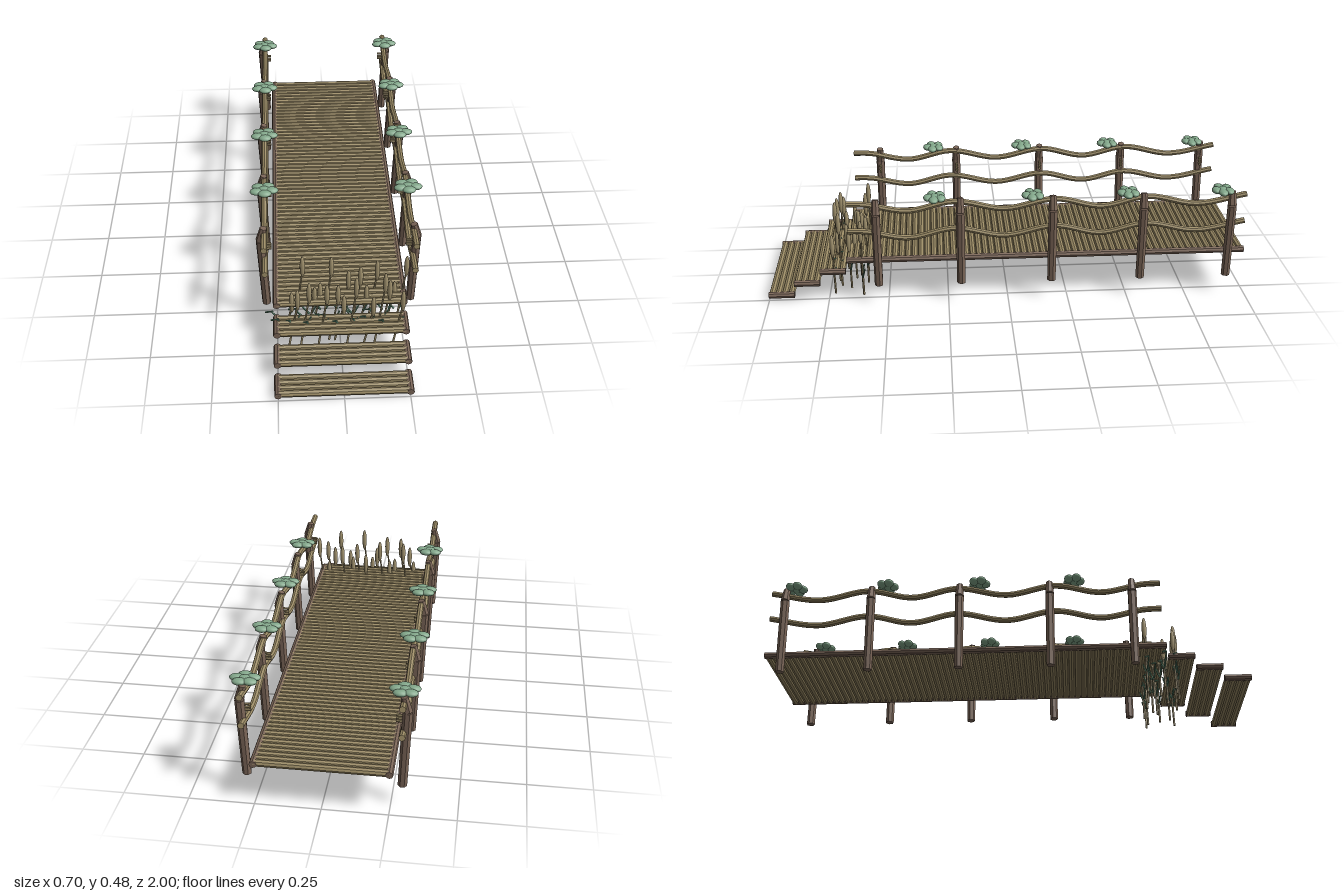
import * as THREE from 'three';

const mat = (name, color, flatShading = true) =>
  Object.assign(new THREE.MeshStandardMaterial({ color, flatShading }), { name });

export function createModel() {
  const wood = mat('tan wood', 0x9c8c66);
  const bark = mat('brown bark', 0x7a6557);
  const straw = mat('reed straw', 0xa39470, false);
  const lily = mat('pad green', 0x84a98c, false);
  const leaf = mat('leaf green', 0x5f8a72);
  const model = new THREE.Group();
  const V = (x, y, z) => new THREE.Vector3(x, y, z);

  const group = (name, parent = model) => {
    const g = new THREE.Group();
    g.name = name;
    parent.add(g);
    return g;
  };
  const add = (parent, name, geometry, material) => {
    const m = new THREE.Mesh(geometry, material);
    m.name = name;
    parent.add(m);
    return m;
  };
  // Straight log between two points
  const log = (parent, name, a, b, r0, r1, sides, material) => {
    const d = b.clone().sub(a);
    const m = add(parent, name, new THREE.CylinderGeometry(r1, r0, d.length(), sides), material);
    m.position.copy(a).add(b).multiplyScalar(0.5);
    m.quaternion.setFromUnitVectors(V(0, 1, 0), d.normalize());
    return m;
  };

  // Platform of round planks with a log along each side
  const platform = (name, z0, z1, y, count) => {
    const g = group(name);
    const pitch = (z1 - z0) / count;
    for (let i = 0; i < count; i++) {
      const z = z0 + pitch * (i + 0.5);
      log(g, 'plank', V(-0.25, y, z), V(0.25, y, z), 0.0138, 0.0138, 8, wood);
    }
    for (const s of [-1, 1])
      log(g, 'sideLog', V(s * 0.25, y, z0), V(s * 0.25, y, z1), 0.0142, 0.0142, 8, bark);
  };
  platform('deck', -1, 0.67, 0.176, 62);
  platform('upperStep', 0.675, 0.782, 0.125, 4);
  platform('middleStep', 0.785, 0.892, 0.074, 4);
  platform('lowerStep', 0.893, 1, 0.023, 4);

  // Railings, mirrored left and right
  const postZ = [0.537, 0.195, -0.182, -0.555, -0.92];
  const padZ = [0.297, -0.1, -0.49, -0.88];
  for (const s of [-1, 1]) {
    const side = group(s > 0 ? 'leftRailing' : 'rightRailing');

    for (const z of postZ) {
      const post = group('post', side);
      log(post, 'postShaft', V(s * 0.291, 0.08, z), V(s * 0.304, 0.4, z), 0.018, 0.019, 7, bark);
      log(post, 'postTop', V(s * 0.305, 0.402, z), V(s * 0.291, 0.462, z), 0.019, 0.014, 7, bark);
      for (let k = 0; k < 3; k++) {
        const y = 0.36 + k * 0.0125;
        log(post, 'peg', V(s * 0.263, y, z), V(s * 0.3, y, z), 0.005, 0.005, 6, wood);
      }
    }

    // Wavy rails: high at the posts, sagging between them
    for (const [name, y] of [['topRail', 0.445], ['lowerRail', 0.326]]) {
      const pts = [V(s * 0.29, y, 0.655), V(s * 0.29, y - 0.003, 0.58)];
      const peaks = [0.6, 0.22, -0.19, -0.57, -0.98];
      for (let i = 0; i < 4; i++) {
        pts.push(V(s * 0.29, y - 0.035, (peaks[i] + peaks[i + 1]) / 2));
        pts.push(V(s * 0.29, y + 0.002, peaks[i + 1]));
      }
      const curve = new THREE.CatmullRomCurve3(pts);
      add(side, name, new THREE.TubeGeometry(curve, 64, 0.0125, 8), wood);
      for (const t of [0, 1]) {
        const cap = add(side, name + 'End', new THREE.CircleGeometry(0.0125, 8), wood);
        cap.position.copy(curve.getPoint(t));
        const dir = curve.getTangent(t).multiplyScalar(t ? 1 : -1);
        cap.quaternion.setFromUnitVectors(V(0, 0, 1), dir);
      }
    }

    // Flat leafy clumps above the top rail
    for (const z of padZ) {
      const pad = group('leafPad', side);
      pad.position.set(s * 0.29, 0.467, z);
      for (let i = 0; i < 6; i++) {
        const a = (i / 5) * Math.PI * 2 + 0.2;
        const r = i < 5 ? 1 : 0;
        const lobe = add(pad, 'leafLobe', new THREE.SphereGeometry(1, 12, 8), lily);
        lobe.position.set(Math.cos(a) * 0.032 * r, 0, Math.sin(a) * 0.027 * r);
        lobe.scale.set(0.028, 0.0125, 0.02);
      }
    }
  }

  // Bed of reeds by the deck's front edge
  const reeds = group('reeds');
  const tops = [0.235, 0.287, 0.358, 0.328, 0.25, 0.25, 0.328, 0.358, 0.287];
  for (let i = 0; i < 21; i++) {
    const x = -0.19 + i * 0.0226;
    const z = 0.658 + 0.068 * Math.sin(i * 2.4);
    const top = tops[i % 9];
    log(reeds, 'reedStem', V(x - 0.036, 0, z), V(x, top - 0.07, z), 0.0045, 0.0035, 6, straw);
    const head = add(reeds, 'reedHead', new THREE.SphereGeometry(1, 10, 10), straw);
    head.position.set(x, top - 0.052, z);
    head.scale.set(0.0105, 0.052, 0.0105);
    // Bent leaf on each stem
    const b = x - 0.045;
    log(reeds, 'leafBlade', V(b, 0.088, z), V(b - 0.033, 0.142, z + 0.008), 0.0045, 0.003, 5, leaf);
    log(reeds, 'leafTip', V(b - 0.06, 0.126, z - 0.01), V(b - 0.03, 0.144, z + 0.006), 0.0035, 0.0035, 5, leaf);
    log(reeds, 'leafSprig', V(x - 0.022, 0.09, z), V(x + 0.006, 0.142, z - 0.012), 0.004, 0.003, 5, leaf);
  }

  return model;
}
